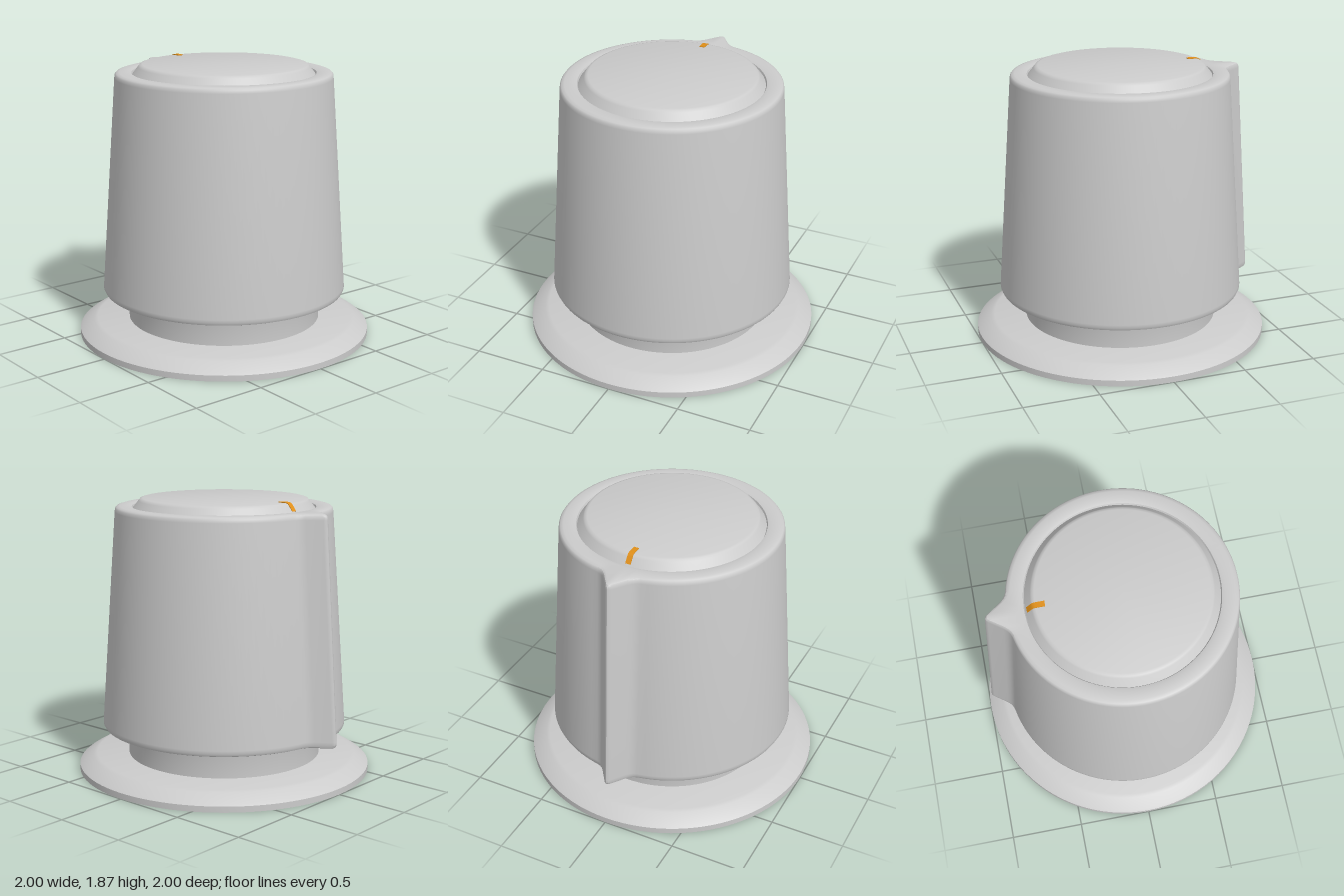
import * as THREE from 'three';
import { toCreasedNormals } from 'three/addons/utils/BufferGeometryUtils.js';

const grey = new THREE.MeshStandardMaterial({ color: 0xcccccc });
const orange = new THREE.MeshStandardMaterial({ color: 0xe0901a });

function addMesh(group, name, geometry, material = grey, crease = 0.6) {
  const mesh = new THREE.Mesh(toCreasedNormals(geometry, crease), material);
  mesh.name = name;
  group.add(mesh);
}

function lathe(points) {
  return new THREE.LatheGeometry(points.map(([r, y]) => new THREE.Vector2(r, y)), 96);
}

// Pointer rib as [z, height above the round wall], from one flank to the other
const flank = [[0.15, 0], [0.125, 0.005], [0.105, 0.016], [0.085, 0.034], [0.022, 0.118], [0.012, 0.13]];
const rib = [...flank.map(([z, h]) => [-z, h]), [0, 0.134], ...flank.slice().reverse()];

// Cross-section: circle of radius r with the rib on -x, scaled by k
function section(r, k) {
  const points = rib.map(([z, h]) => [-Math.sqrt(r * r - z * z) - h * k, z]);
  const half = Math.asin(flank[0][0] / r);
  const steps = 96;
  for (let i = 1; i < steps; i++) {
    const a = Math.PI + half + (2 * Math.PI - 2 * half) * i / steps;
    points.push([r * Math.cos(a), -r * Math.sin(a)]);
  }
  return points;
}

// Skin through rings of [radius, y, rib scale], bottom to top
function bodyGeometry(rings) {
  const positions = [], index = [];
  let n = 0;
  rings.forEach(([r, y, k], j) => {
    const loop = section(r, k);
    n = loop.length;
    loop.forEach(([x, z]) => positions.push(x, y, z));
    if (j === 0) return;
    for (let i = 0; i < n; i++) {
      const a = (j - 1) * n + i, b = (j - 1) * n + (i + 1) % n;
      index.push(a, b, b + n, a, b + n, a + n);
    }
  });
  const geometry = new THREE.BufferGeometry();
  geometry.setAttribute('position', new THREE.Float32BufferAttribute(positions, 3));
  geometry.setIndex(index);
  return geometry;
}

export function createModel() {
  const group = new THREE.Group();
  group.name = 'controlKnob';

  // Bevelled disc the knob stands on
  addMesh(group, 'baseDisc', lathe([
    [0, 0], [1, 0], [1, 0.04], [0.985, 0.052], [0.905, 0.1], [0.88, 0.108], [0, 0.108],
  ]));

  // Neck, tapered grip with pointer rib, and rounded rim
  addMesh(group, 'gripBody', bodyGeometry([
    [0.66, 0.1, 0], [0.66, 0.27, 0], [0.665, 0.29, 0], [0.685, 0.302, 0],
    [0.81, 0.302, 1], [0.825, 0.308, 1], [0.833, 0.325, 1], [0.832, 0.345, 1],
    [0.732, 1.775, 1], [0.729, 1.795, 1], [0.72, 1.806, 1], [0.7, 1.812, 1],
    [0.64, 1.812, 0], [0.618, 1.806, 0], [0.61, 1.79, 0],
  ]));

  // Inset cap on top
  addMesh(group, 'topCap', lathe([
    [0.615, 1.79], [0.598, 1.812], [0.572, 1.845], [0.562, 1.857], [0.545, 1.862], [0, 1.862],
  ]));

  // Indicator mark that bends over the cap edge
  const mark = new THREE.Shape();
  [[-0.602, 1.812], [-0.574, 1.849], [-0.563, 1.861], [-0.545, 1.867], [-0.485, 1.867],
    [-0.485, 1.85], [-0.56, 1.845], [-0.59, 1.808]]
    .forEach(([x, y], i) => (i ? mark.lineTo(x, y) : mark.moveTo(x, y)));
  const markGeometry = new THREE.ExtrudeGeometry(mark, { depth: 0.036, bevelEnabled: false });
  markGeometry.translate(0, 0, -0.018);
  addMesh(group, 'indicatorMark', markGeometry, orange);

  return group;
}
